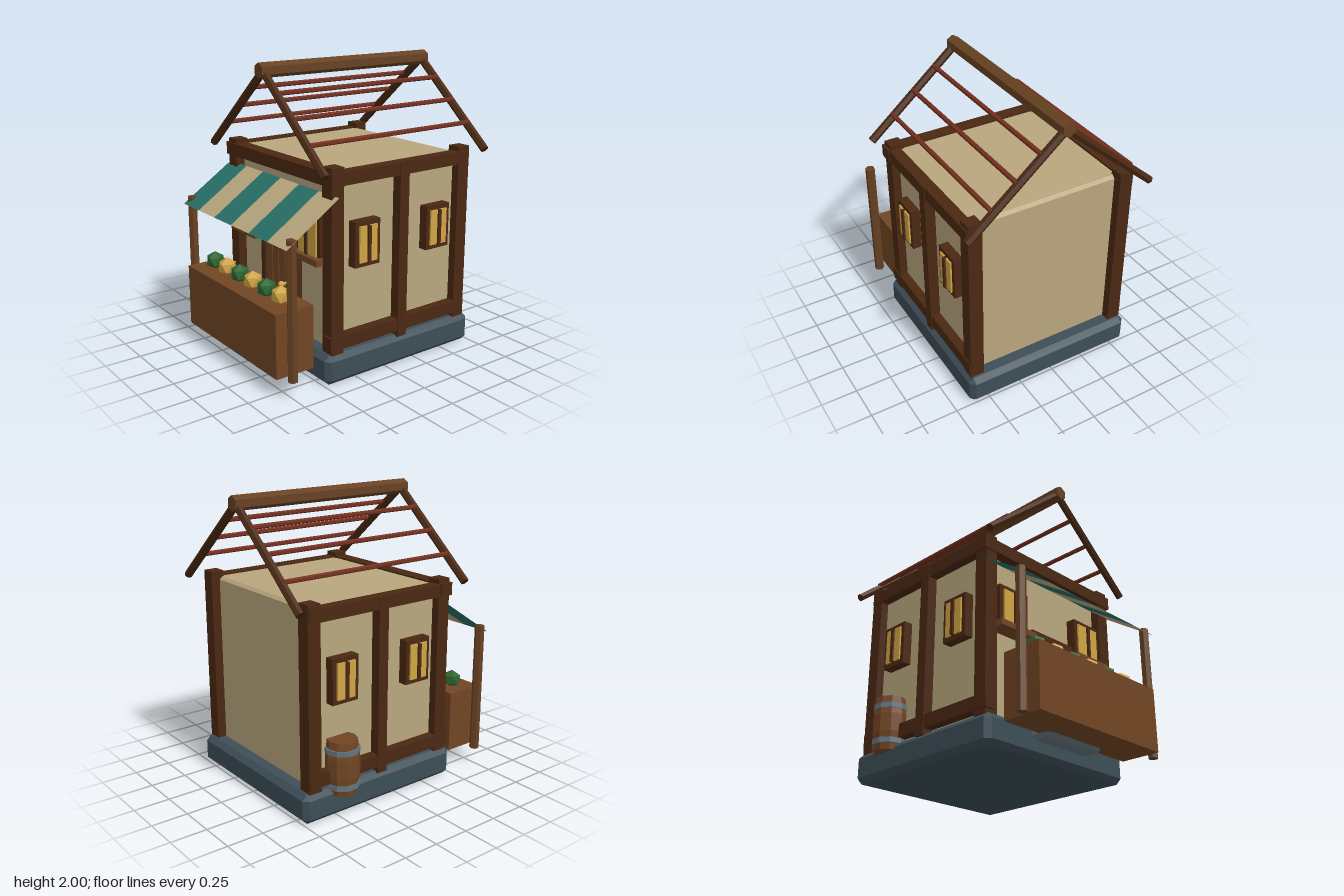
import * as THREE from 'three';
import { ConvexGeometry } from 'three/addons/geometries/ConvexGeometry.js';

const paint = (name, color, side = THREE.FrontSide) => {
  const m = new THREE.MeshStandardMaterial({ color, side, flatShading: true });
  m.name = name;
  return m;
};

export function createModel() {
  const plaster = paint('plaster', 0xb8a67e, THREE.DoubleSide);
  const teal = paint('teal cloth', 0x277068, THREE.DoubleSide);
  const timber = paint('dark timber', 0x4a2812);
  const plank = paint('plank wood', 0x714523);
  const pole = paint('pole wood', 0x674122);
  const gold = paint('gold', 0xd0a444);
  const green = paint('leaf green', 0x2c6530);
  const stone = paint('slate', 0x3d4d57);
  const paleStone = paint('pale slate', 0x64757e);
  const red = paint('red wood', 0x74301f);

  const house = new THREE.Group();
  house.name = 'house';
  house.position.x = 0.013;

  const add = (name, geometry, material, parent = house) => {
    const mesh = new THREE.Mesh(geometry, material);
    mesh.name = name;
    parent.add(mesh);
    return mesh;
  };
  // Box given by its limits on each axis
  const box = (name, mat, [x0, x1], [y0, y1], [z0, z1], parent = house) => {
    const m = add(name, new THREE.BoxGeometry(x1 - x0, y1 - y0, z1 - z0), mat, parent);
    m.position.set((x0 + x1) / 2, (y0 + y1) / 2, (z0 + z1) / 2);
    return m;
  };
  // Box with every edge cut at 45 degrees
  const chamferBox = (name, mat, [x0, x1], [y0, y1], [z0, z1], b) => {
    const hx = (x1 - x0) / 2, hy = (y1 - y0) / 2, hz = (z1 - z0) / 2;
    const points = [];
    for (const sx of [-1, 1]) for (const sy of [-1, 1]) for (const sz of [-1, 1]) {
      points.push(
        new THREE.Vector3(sx * hx, sy * (hy - b), sz * (hz - b)),
        new THREE.Vector3(sx * (hx - b), sy * hy, sz * (hz - b)),
        new THREE.Vector3(sx * (hx - b), sy * (hy - b), sz * hz));
    }
    const m = add(name, new ConvexGeometry(points), mat);
    m.position.set((x0 + x1) / 2, (y0 + y1) / 2, (z0 + z1) / 2);
    return m;
  };
  // Six-sided rod between two points
  const rod = (name, mat, a, b, r) => {
    const from = new THREE.Vector3(...a), to = new THREE.Vector3(...b);
    const dir = to.clone().sub(from);
    const m = add(name, new THREE.CylinderGeometry(r, r, dir.length(), 6), mat);
    m.position.copy(from).add(to).multiplyScalar(0.5);
    m.quaternion.setFromUnitVectors(new THREE.Vector3(0, 1, 0), dir.normalize());
    return m;
  };

  // Base, walls and doorstep
  chamferBox('foundation', stone, [-0.625, 0.625], [0, 0.2], [-0.755, 0.495], 0.035);
  chamferBox('walls', plaster, [-0.545, 0.545], [0.18, 1.375], [-0.645, 0.385], 0.02);
  chamferBox('doorstep', paleStone, [-0.255, 0.255], [0.105, 0.225], [0.38, 0.625], 0.025);

  // Timber frame
  for (const s of [-1, 1]) {
    const span = (a, b) => (s > 0 ? [a, b] : [-b, -a]);
    for (const z of [0.4, -0.66]) {
      box('cornerPost', timber, span(0.505, 0.602), [0.195, 1.415], [z - 0.047, z + 0.047]);
    }
    box('middlePost', timber, span(0.53, 0.616), [0.19, 1.38], [-0.165, -0.09]);
    box('topSideBeam', timber, span(0.53, 0.61), [1.3, 1.384], [-0.7, 0.45]);
    box('bottomSideBeam', timber, span(0.53, 0.61), [0.23, 0.32], [-0.7, 0.46]);
  }
  box('topFrontBeam', timber, [-0.618, 0.618], [1.3, 1.386], [0.36, 0.458]);

  // Window facing +z at the origin, sized by its frame
  const makeWindow = (w, h, depth) => {
    const g = new THREE.Group();
    g.name = 'window';
    const x = w / 2, y = h / 2, t = 0.03;
    box('frameBack', timber, [-x, x], [-y, y], [0, depth - 0.02], g);
    for (const s of [-1, 1]) {
      const side = s > 0 ? [x - t, x] : [-x, t - x];
      const rail = s > 0 ? [y - t, y] : [-y, t - y];
      box('frameSide', timber, side, [-y, y], [0, depth], g);
      box('frameRail', timber, [-x, x], rail, [0, depth], g);
      const inner = s > 0 ? [0.012, x - t] : [t - x, -0.012];
      box('pane', gold, inner, [t - y, y - t], [0, depth + 0.012], g);
    }
    box('mullion', timber, [-0.012, 0.012], [t - y, y - t], [0, depth + 0.025], g);
    house.add(g);
    return g;
  };
  for (const s of [-1, 1]) {
    for (const z of [0.17, -0.43]) {
      const w = makeWindow(0.2, 0.3, 0.07);
      w.position.set(s * 0.54, 0.9, z);
      w.rotation.y = s * Math.PI / 2;
    }
    makeWindow(0.25, 0.3, 0.07).position.set(s * 0.357, 0.94, 0.38);
    box('windowSill', plank, [s * 0.357 - 0.157, s * 0.357 + 0.157], [0.78, 0.82], [0.38, 0.5]);
  }

  // Door with four planks
  box('doorBack', timber, [-0.155, 0.155], [0.2, 0.82], [0.38, 0.41]);
  for (const s of [-1, 1]) {
    box('doorJamb', timber, s > 0 ? [0.15, 0.192] : [-0.192, -0.15], [0.2, 0.865], [0.38, 0.455]);
  }
  box('doorLintel', timber, [-0.192, 0.192], [0.81, 0.865], [0.38, 0.455]);
  for (let i = 0; i < 4; i++) {
    const x = -0.114 + i * 0.076;
    box('doorPlank', plank, [x - 0.034, x + 0.034], [0.22, 0.81], [0.38, 0.44]);
  }
  add('doorHandle', new THREE.IcosahedronGeometry(0.023, 1), gold).position.set(0.11, 0.545, 0.495);
  rod('handleStem', gold, [0.11, 0.545, 0.43], [0.11, 0.545, 0.49], 0.01);

  // Open roof frame
  rod('ridgeBeam', pole, [0, 1.95, -0.83], [0, 1.95, 0.57], 0.05);
  for (const s of [-1, 1]) {
    for (const z of [0.535, -0.8]) {
      rod('rafter', timber, [s * 0.658, 1.385, z], [0, 1.945, z], 0.028);
    }
    for (let i = 1; i <= 3; i++) {
      rod('purlin', red, [s * 0.165 * i, 1.96 - 0.137 * i, -0.8],
        [s * 0.165 * i, 1.96 - 0.137 * i, 0.535], 0.016);
    }
  }

  // Striped awning: one sloping strip per stripe
  const top = [1.24, 0.42], low = [0.985, 0.805], stripe = 1.275 / 6;
  const slope = Math.hypot(top[0] - low[0], low[1] - top[1]);
  for (let i = 0; i < 6; i++) {
    const m = add('awningStripe', new THREE.PlaneGeometry(stripe, slope), i % 2 ? plaster : teal);
    m.position.set(0.005 + (i - 2.5) * stripe, (top[0] + low[0]) / 2, (top[1] + low[1]) / 2);
    m.rotation.x = -Math.atan2(low[1] - top[1], top[0] - low[0]);
  }
  for (const s of [-1, 1]) {
    rod('awningPost', pole, [s * 0.61, 0.12, 0.75], [s * 0.61, 1.035, 0.75], 0.034);
  }

  // Market counter and produce
  box('counter', plank, [-0.552, 0.552], [0.13, 0.558], [0.552, 0.832]);
  for (let i = 0; i < 6; i++) {
    const m = add('produce', new THREE.IcosahedronGeometry(0.066, 0), i % 2 ? gold : green);
    m.position.set((i - 2.5) * 0.164 - 0.012, 0.605, 0.69);
    m.rotation.z = -Math.atan(2 / (1 + Math.sqrt(5)));
  }

  // Barrel beside the wall
  const barrel = new THREE.Group();
  barrel.name = 'barrel';
  barrel.position.set(-0.593, 0.15, -0.445);
  house.add(barrel);
  const profile = [[0, 0], [0.1, 0], [0.116, 0.12], [0.116, 0.24], [0.1, 0.363], [0, 0.363]];
  add('barrelBody', new THREE.LatheGeometry(profile.map(p => new THREE.Vector2(...p)), 10), plank, barrel);
  for (const y of [0.06, 0.295]) {
    add('barrelBand', new THREE.CylinderGeometry(0.117, 0.117, 0.035, 10), paleStone, barrel).position.y = y;
  }

  const model = new THREE.Group();
  model.name = 'marketHouse';
  model.add(house);
  return model;
}
